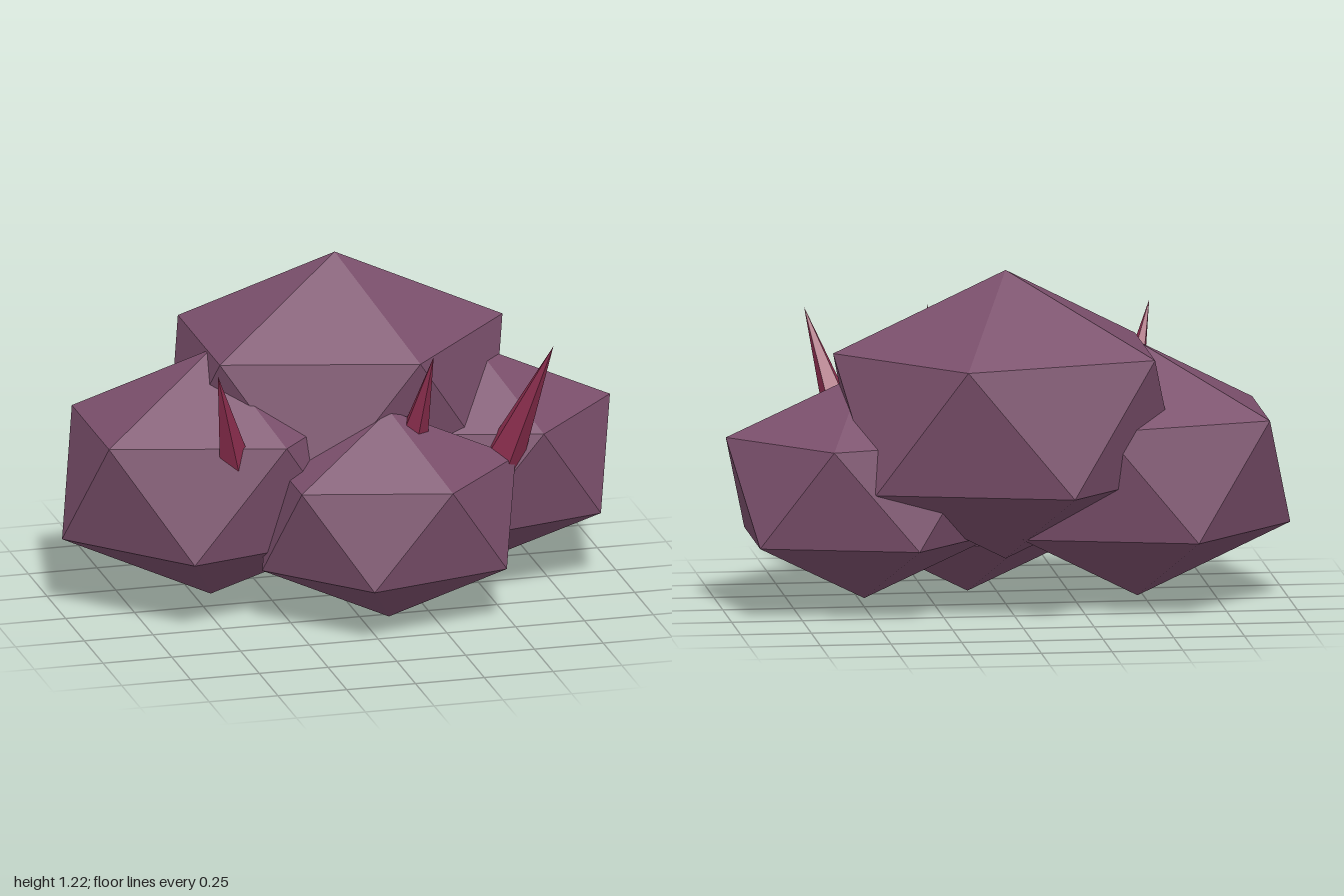
import * as THREE from 'three';

export function createModel() {
  const model = new THREE.Group();
  model.name = 'spikedRocks';

  const rockMat = new THREE.MeshStandardMaterial({ color: 0x7a4f6b, flatShading: true });
  rockMat.name = 'mauve rock';
  const spikeMat = new THREE.MeshStandardMaterial({ color: 0x8f2f50, flatShading: true });
  spikeMat.name = 'crimson spike';

  // Icosahedron standing on a vertex, upper ring pointing to +x
  const rockGeo = new THREE.IcosahedronGeometry(1, 0);
  rockGeo.rotateX(-Math.atan((1 + Math.sqrt(5)) / 2));
  rockGeo.rotateY(Math.PI / 2);

  // Boulders: name, centre, radii
  const rocks = [
    ['largeRock', [0.02, 0.705, -0.157], [0.682, 0.514, 0.535]],
    ['rightRock', [-0.46, 0.483, -0.048], [0.604, 0.453, 0.475]],
    ['leftRock', [0.51, 0.45, -0.078], [0.547, 0.403, 0.425]],
    ['frontRock', [0.1, 0.384, 0.275], [0.515, 0.382, 0.394]],
  ];
  for (const [name, centre, radii] of rocks) {
    const rock = new THREE.Mesh(rockGeo, rockMat);
    rock.name = name;
    rock.position.set(...centre);
    rock.scale.set(...radii);
    model.add(rock);
  }

  // Five-sided spikes leaning outwards, with the tip at the origin
  const length = 0.6;
  const spikeGeo = new THREE.ConeGeometry(0.087, length, 5);
  spikeGeo.translate(0, -length / 2, 0);
  const up = new THREE.Vector3(0, 1, 0);
  const spikes = [
    ['rightSpike', -0.56, -0.26],
    ['middleSpike', 0.225, 0.12],
    ['leftSpike', 0.66, 0.3],
  ];
  for (const [name, x, lean] of spikes) {
    const spike = new THREE.Mesh(spikeGeo, spikeMat);
    spike.name = name;
    spike.position.set(x, 1, 0.415);
    spike.quaternion.setFromUnitVectors(up, new THREE.Vector3(lean, 1, 0.38).normalize());
    model.add(spike);
  }

  return model;
}
